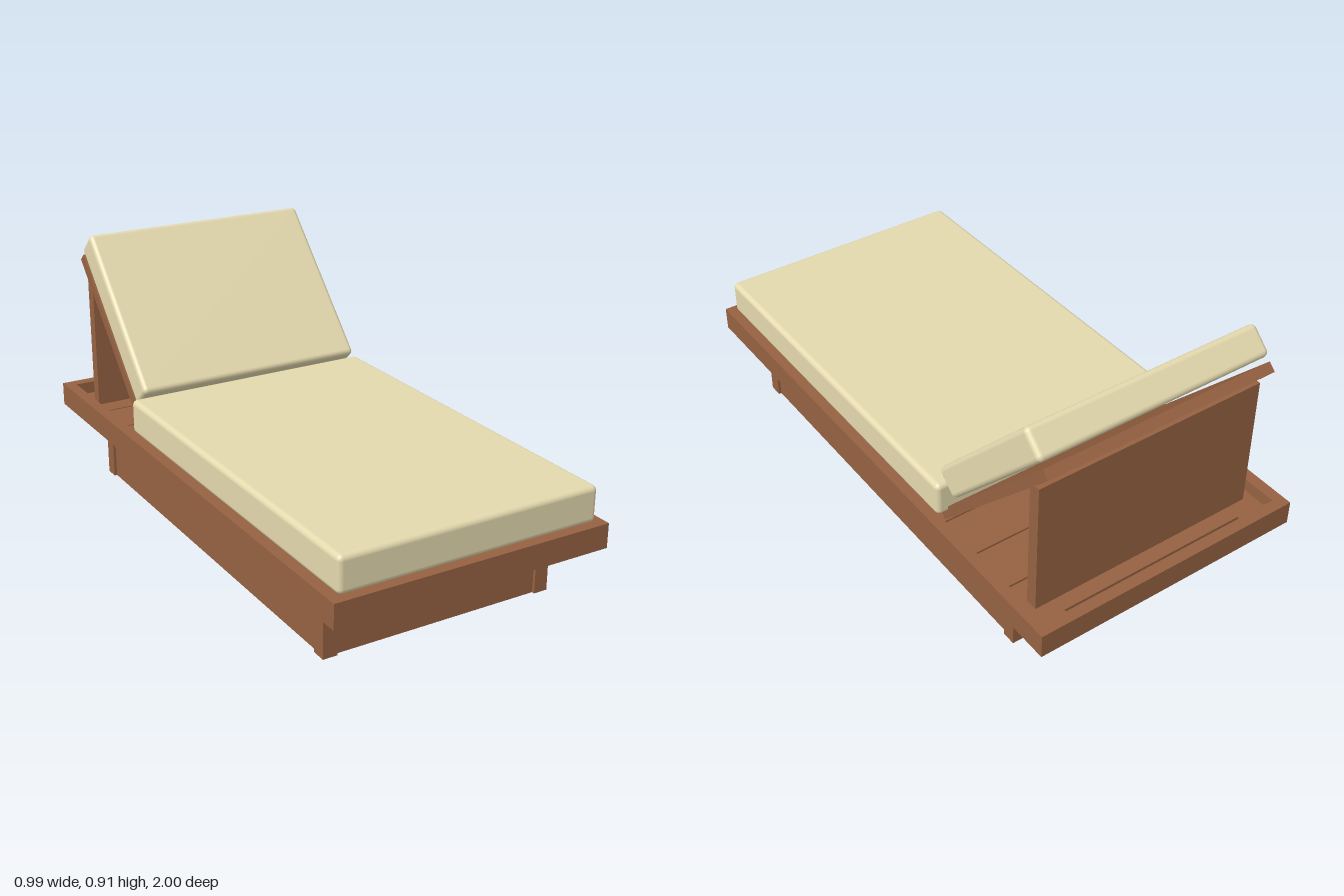
import * as THREE from 'three';
import { RoundedBoxGeometry } from 'three/addons/geometries/RoundedBoxGeometry.js';

const wood = new THREE.MeshStandardMaterial({ color: 0x966242 });
wood.name = 'brownWood';
const fabric = new THREE.MeshStandardMaterial({ color: 0xe4d9ae });
fabric.name = 'creamFabric';

export function createModel() {
  const model = new THREE.Group();
  model.name = 'sunLounger';

  const place = (name, geometry, material, x, y, z, tilt = 0) => {
    const mesh = new THREE.Mesh(geometry, material);
    mesh.name = name;
    mesh.position.set(x, y, z);
    mesh.rotation.x = tilt;
    model.add(mesh);
  };
  // Wooden board given by its limits on each axis
  const board = (name, x0, x1, y0, y1, z0, z1) =>
    place(name, new THREE.BoxGeometry(x1 - x0, y1 - y0, z1 - z0), wood,
      (x0 + x1) / 2, (y0 + y1) / 2, (z0 + z1) / 2);
  const cushion = (name, w, h, d, y, z, tilt) =>
    place(name, new RoundedBoxGeometry(w, h, d, 4, 0.018), fabric, 0, y, z, tilt);

  // Outer frame
  board('frontRail', -0.495, 0.495, 0.21, 0.295, 0.96, 1);
  board('backRail', -0.495, 0.495, 0.21, 0.295, -1, -0.96);
  for (const s of [-1, 1]) {
    const mirrored = (name, a, b, ...rest) =>
      board(name, Math.min(s * a, s * b), Math.max(s * a, s * b), ...rest);
    mirrored('sideRail', 0.455, 0.495, 0.21, 0.295, -0.96, 0.96);
    mirrored('cornerBlock', 0.35, 0.455, 0.215, 0.25, -0.96, -0.92);
    mirrored('sideLedge', 0.43, 0.455, 0.215, 0.25, -0.92, -0.7);
    // Recessed base with corner legs
    mirrored('baseSide', 0.38, 0.41, 0, 0.215, -0.71, 0.77);
    mirrored('frontLeg', 0.37, 0.42, 0, 0.215, 0.77, 0.82);
    mirrored('backLeg', 0.37, 0.42, 0, 0.215, -0.76, -0.71);
  }
  board('baseFront', -0.37, 0.37, 0, 0.215, 0.78, 0.81);
  board('baseBack', -0.37, 0.37, 0, 0.215, -0.75, -0.72);
  board('baseDivider', -0.38, 0.38, 0, 0.215, -0.325, -0.295);

  // Slats across the deck, sunk in the frame and narrower behind the seat
  const slats = (name, count, half, z0, z1) => {
    const step = (z1 - z0) / count;
    for (let i = 0; i < count; i++) {
      board(name, -half, half, 0.215, 0.25, z0 + i * step, z0 + (i + 1) * step - 0.006);
    }
  };
  slats('seatSlat', 9, 0.455, -0.4, 0.96);
  slats('rearSlat', 3, 0.43, -0.92, -0.4);

  // Sloping backrest and its upright support
  place('backrestBoard', new THREE.BoxGeometry(0.85, 0.76, 0.035), wood, 0, 0.536, -0.64, -0.76);
  board('backrestSupport', -0.42, 0.42, 0.25, 0.73, -0.868, -0.826);

  cushion('seatCushion', 0.93, 0.124, 1.385, 0.357, 0.282, 0);
  cushion('backCushion', 0.862, 0.645, 0.108, 0.648, -0.625, -0.753);
  return model;
}
